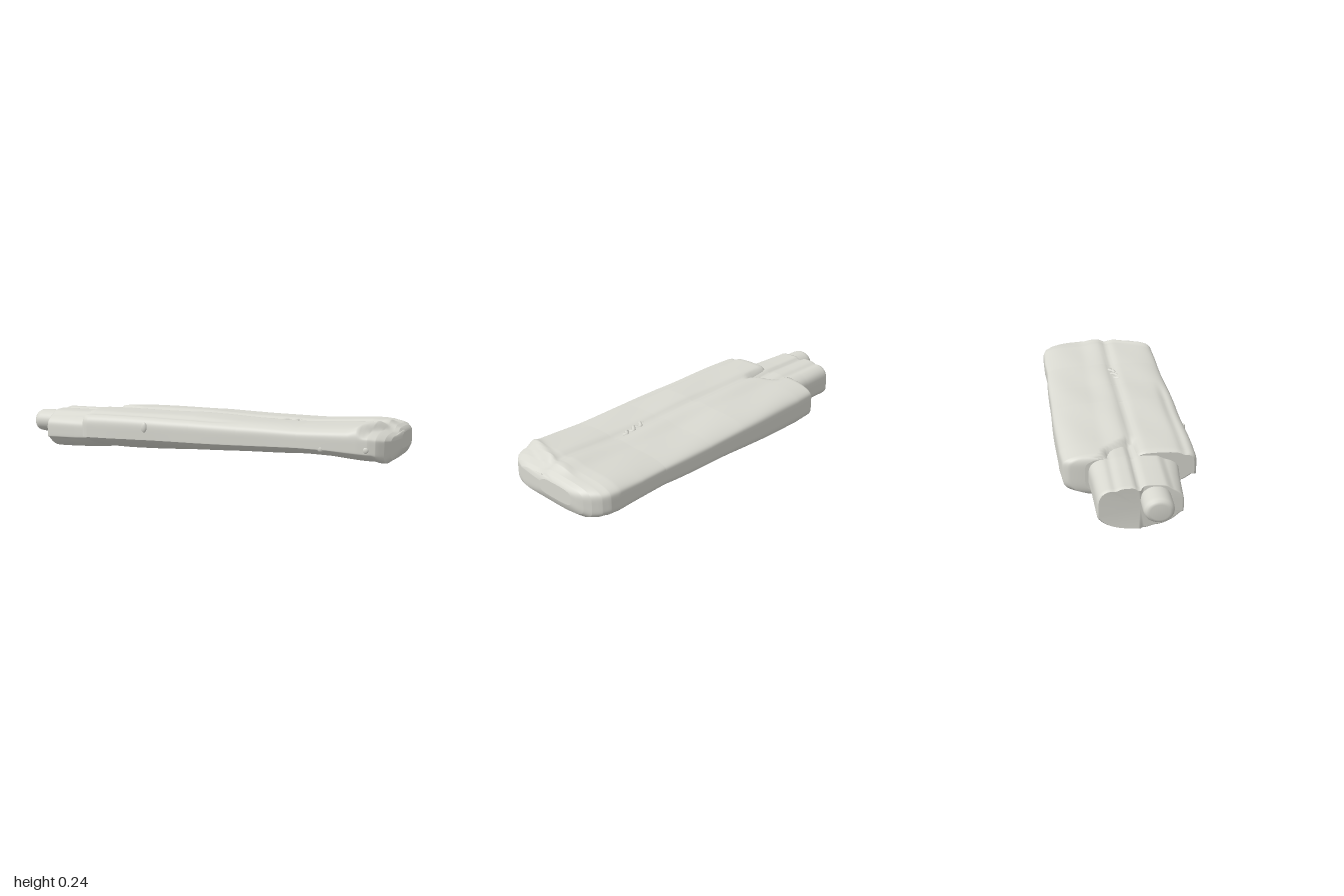
import * as THREE from 'three';

const SIDE = 40; // points along each side of a cross-section

// linear lookup in a table of rows [x, a, b, ...]
function lookup(table, x) {
  let i = 0;
  while (i < table.length - 2 && x > table[i + 1][0]) i++;
  const a = table[i], b = table[i + 1];
  const t = THREE.MathUtils.clamp((x - a[0]) / (b[0] - a[0]), 0, 1);
  return a.map((v, k) => v + (b[k] - v) * t);
}

const bump = (v, centre, width) => Math.exp(-(((v - centre) / width) ** 2));
const step = (v, a, b) => THREE.MathUtils.smoothstep(v, a, b);

// rounded-square outline, evenly spread, with its own squareness front and back
function outline(nFront, nBack) {
  const pts = [];
  for (let s = 0; s < 4; s++) {
    for (let i = 0; i < SIDE; i++) {
      const k = -1 + (2 * i) / SIDE;
      const [z, y] = [[1, k], [-k, 1], [-1, -k], [k, -1]][s];
      const n = z > 0 ? nFront : nBack;
      const r = (Math.abs(z) ** n + Math.abs(y) ** n) ** (-1 / n);
      pts.push([z * r, y * r]);
    }
  }
  return pts;
}

// loft along x: rows are [x, zBack, zFront, yBottom, yTop]; relief shifts each point
function loft(table, steps, shape, relief) {
  const xs = new Set(table.map((r) => r[0]));
  const x0 = table[0][0], x1 = table[table.length - 1][0];
  for (let i = 0; i <= steps; i++) xs.add(x0 + ((x1 - x0) * i) / steps);
  const stations = [...xs].sort((a, b) => a - b);
  const n = shape.length, pos = [], idx = [];
  const rings = stations.map((x) => {
    const [, zb, zf, yb, yt] = lookup(table, x);
    return shape.map(([u, v]) => {
      const z = (zb + zf) / 2 + (u * (zf - zb)) / 2;
      const y = (yb + yt) / 2 + (v * (yt - yb)) / 2;
      return relief(x, y, z, u, v);
    });
  });
  rings.forEach((ring) => ring.forEach((p) => pos.push(...p)));
  for (let i = 0; i < rings.length - 1; i++) {
    for (let j = 0; j < n; j++) {
      const a = i * n + j, b = i * n + ((j + 1) % n);
      idx.push(a, a + n, b + n, a, b + n, b);
    }
  }
  // end caps with their own corners, so the rims stay crisp
  [rings[0], rings[rings.length - 1]].forEach((ring, end) => {
    const base = pos.length / 3;
    ring.forEach((p) => pos.push(...p));
    pos.push(...[0, 1, 2].map((k) => ring.reduce((s, p) => s + p[k], 0) / n));
    for (let j = 0; j < n; j++) {
      const a = base + j, b = base + ((j + 1) % n);
      idx.push(base + n, ...(end ? [b, a] : [a, b]));
    }
  });
  const g = new THREE.BufferGeometry();
  g.setAttribute('position', new THREE.Float32BufferAttribute(pos, 3));
  g.setIndex(idx);
  g.computeVertexNormals();
  return g;
}

export function createModel() {
  const group = new THREE.Group();
  const grey = new THREE.MeshStandardMaterial({ color: 0xd8d8d0 });
  grey.name = 'warm grey';
  const add = (name, geometry, x = 0, y = 0, z = 0) => {
    const mesh = new THREE.Mesh(geometry, grey);
    mesh.name = name;
    mesh.position.set(x, y, z);
    group.add(mesh);
    return mesh;
  };

  // wide wrapped sleeve with a seam, a lengthwise lip and a folded end
  const sleeve = [
    [-0.6, -0.2, 0.31, 0.025, 0.224],
    [-0.592, -0.265, 0.32, 0.016, 0.231],
    [-0.57, -0.302, 0.324, 0.013, 0.234],
    [-0.45, -0.315, 0.324, 0.014, 0.235],
    [0, -0.325, 0.32, 0.028, 0.233],
    [0.25, -0.328, 0.316, 0.042, 0.222],
    [0.55, -0.325, 0.312, 0.054, 0.218],
    [0.7, -0.336, 0.31, 0.05, 0.224],
    [0.84, -0.335, 0.308, 0.038, 0.23],
    [0.89, -0.325, 0.304, 0.036, 0.227],
    [0.925, -0.305, 0.29, 0.038, 0.219],
    [0.955, -0.272, 0.255, 0.046, 0.207],
    [0.975, -0.235, 0.2, 0.062, 0.195],
    [0.986, -0.205, 0.1, 0.082, 0.185],
    [0.991, -0.17, 0.045, 0.1, 0.174],
  ];
  add('sleeve', loft(sleeve, 90, outline(5, 4.4), (x, y, z, u, v) => {
    const top = step(v, 0.3, 0.9), low = step(-v, 0.1, 0.85);
    const end = 1 - step(x, 0.9, 0.97);
    let dy = 0;
    // seam down the middle
    dy -= 0.014 * bump(z, 0.035, 0.024) * end;
    // slightly lower back half
    dy -= 0.012 * step(-z, 0.02, 0.12) * end;
    // lip near the front edge
    dy -= 0.008 * bump(z, 0.262, 0.02) * (1 - step(x, 0.05, 0.3));
    // torn opening above the core
    dy -= 0.045 * (1 - step(x, -0.56 + (z + 0.1) * 0.6, -0.51 + (z + 0.1) * 0.8))
      * step(z, -0.12, -0.07) * (1 - step(z, 0.02, 0.05));
    // slanted fold across the far end
    const fold = 0.93 - 0.3 * Math.max(0, z);
    dy += 0.009 * bump(x, fold - 0.015, 0.016) * step(z, -0.15, -0.05);
    dy -= 0.02 * step(x, fold, fold + 0.03) * step(z, 0, 0.08);
    // gentle wrinkles
    dy += 0.0025 * Math.sin(x * 9 + z * 7) * Math.sin(z * 15 + x * 2);
    // underside rising toward the edges, most at the front of the open end
    const frontRise = 0.036 + 0.034 * (1 - step(x, -0.6, 0.5));
    const rise = (z > 0 ? frontRise * (z / 0.3) ** 1.3 : 0.01 * (z / 0.3) ** 2) * end;
    const under = rise + 0.003 * Math.sin(x * 8 + 1) * Math.sin(z * 17);
    return [x, y + top * dy + low * under, z + 0.002 * Math.sin(x * 11) * Math.abs(u)];
  }));

  // ridged core emerging from the sleeve
  const core = [
    [-0.89, -0.165, 0.205, 0.004, 0.207],
    [-0.88, -0.172, 0.213, 0.0, 0.212],
    [-0.7, -0.178, 0.226, 0.006, 0.212],
    [-0.6, -0.185, 0.236, 0.014, 0.214],
    [-0.4, -0.185, 0.236, 0.03, 0.2],
  ];
  add('core', loft(core, 24, outline(3.4, 3.6), (x, y, z, u, v) => {
    const top = step(v, 0.2, 0.8), low = step(-v, 0.2, 0.8);
    const groove = 0.016 * bump(z, 0.015, 0.016) + 0.008 * bump(z, -0.09, 0.018)
      + 0.012 * step(z, 0.13, 0.17);
    const keel = (z > 0 ? 0.042 : 0.02) * Math.abs(u) ** 1.5 + 0.004 * bump(z, 0.08, 0.02);
    // front half ends a little shorter than the back half
    const cut = Math.max(x, z > 0.02 ? -0.875 : -0.89);
    return [cut, y - top * groove + low * keel, z];
  }));

  // rod with a rounded tip
  const rod = new THREE.LatheGeometry(
    [[0, 0.15], [0.042, 0.15], [0.056, 0.145], [0.064, 0.133], [0.067, 0.115], [0.067, 0]]
      .map(([r, h]) => new THREE.Vector2(r, h)).reverse(), 32);
  rod.rotateZ(Math.PI / 2);
  rod.scale(1, 0.88, 1.03);
  add('rod', rod, -0.85, 0.145, 0.088);

  // short twisted ridge over the seam
  const twist = [];
  for (let i = 0; i <= 10; i++) {
    twist.push(new THREE.Vector3(0.33 + i * 0.016, 0.204 + 0.004 * Math.sin(i * 1.6),
      0.055 - i * 0.0025 + 0.014 * Math.sin(i * 1.9)));
  }
  add('seamTwist', new THREE.TubeGeometry(new THREE.CatmullRomCurve3(twist), 60, 0.01, 8));

  // little raised nubs on the front edge
  [[-0.24, 0.17, 0.318, 0.026], [0.67, 0.12, 0.304, 0.016], [0.88, 0.125, 0.298, 0.018]]
    .forEach(([x, y, z, h]) => {
      add('edgeNub', new THREE.SphereGeometry(1, 20, 14), x, y, z).scale.set(0.016, h, 0.01);
    });

  // loose point of wrapping at the end of the seam
  const tip = add('looseTip', new THREE.ConeGeometry(0.006, 0.03, 8), 0.978, 0.178, 0.035);
  tip.rotation.z = -0.5;
  return group;
}
